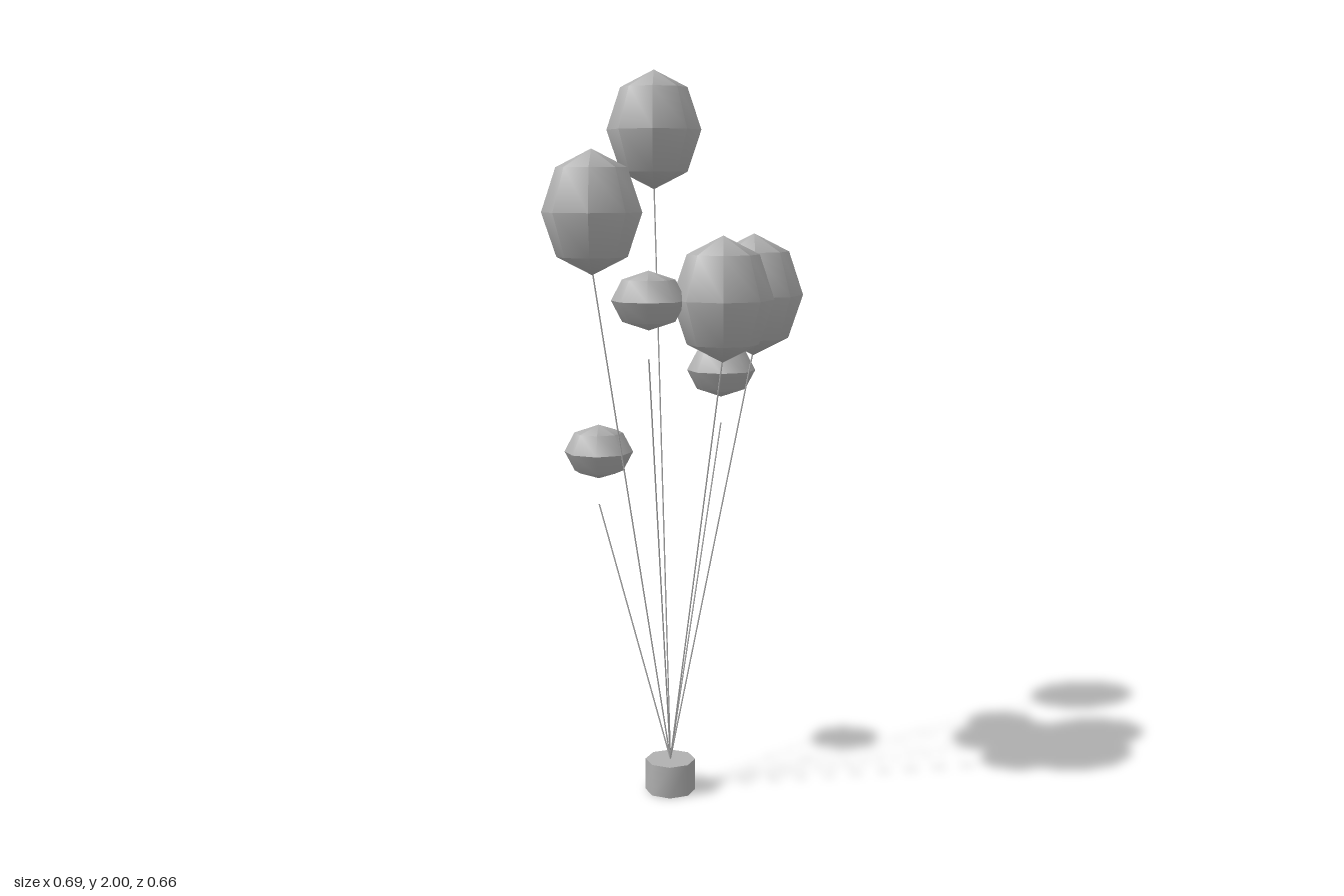
import * as THREE from 'three';
import { toCreasedNormals } from 'three/addons/utils/BufferGeometryUtils.js';

const CX = -0.013, CZ = 0.016; // axis of the bunch
const BASE_H = 0.09, RING = 0.224;

export function createModel() {
  const group = new THREE.Group();
  const grey = new THREE.MeshStandardMaterial({ color: 0xb0b0b0 });
  grey.name = 'grey';

  const add = (name, geometry, x, y, z) => {
    const mesh = new THREE.Mesh(geometry, grey);
    mesh.name = name;
    mesh.position.set(x, y, z);
    group.add(mesh);
    return mesh;
  };

  // Balloon: low-poly ellipsoid, smooth except where the faces turn sharply
  const balloonGeometry = (r, h) =>
    toCreasedNormals(new THREE.SphereGeometry(1, 8, 4).scale(r, h, r), THREE.MathUtils.degToRad(50));
  const big = balloonGeometry(0.132, 0.163);
  const small = balloonGeometry(0.096, 0.076);

  // Octagonal weight
  const weight = toCreasedNormals(new THREE.CylinderGeometry(0.07, 0.07, BASE_H, 8), THREE.MathUtils.degToRad(50));
  add('weight', weight, CX, BASE_H / 2, CZ);

  // Seven balloons in a ring: [size, centre height]
  const balloons = [
    [big, 1.397], [big, 1.397], [small, 1.397], [big, 1.617],
    [small, 0.952], [big, 1.838], [small, 1.173],
  ];
  const knot = new THREE.Vector3(CX, BASE_H, CZ);
  balloons.forEach(([geometry, y], i) => {
    const a = (i / balloons.length) * Math.PI * 2;
    const x = CX + RING * Math.cos(a), z = CZ + RING * Math.sin(a);
    add('balloon' + (i + 1), geometry, x, y, z);

    // String from the weight to just under the balloon
    const end = new THREE.Vector3(x, y - 0.15, z);
    const mid = knot.clone().lerp(end, 0.5);
    const dir = end.clone().sub(knot);
    const string = add('string' + (i + 1),
      new THREE.CylinderGeometry(0.0022, 0.0022, dir.length(), 6), mid.x, mid.y, mid.z);
    string.quaternion.setFromUnitVectors(new THREE.Vector3(0, 1, 0), dir.normalize());
  });

  return group;
}
